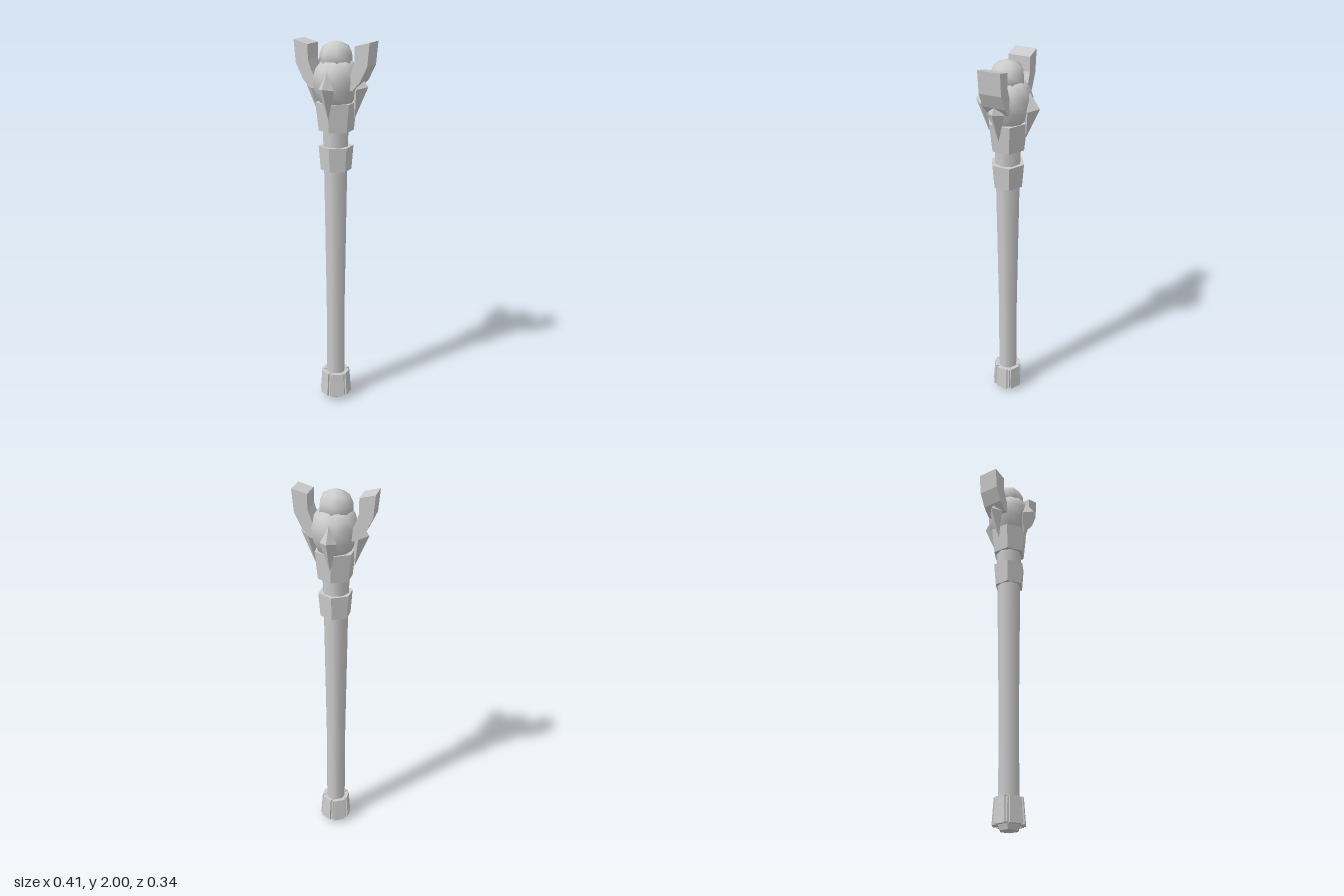
import * as THREE from 'three';

export function createModel() {
  const group = new THREE.Group();
  group.name = 'sceptre';
  const smooth = new THREE.MeshStandardMaterial({ color: 0xcccccc, side: THREE.DoubleSide });
  const flat = new THREE.MeshStandardMaterial({ color: 0xcccccc, flatShading: true });
  const AXIS = 0.007; // the head sits slightly off centre

  const add = (name, geometry, material, x = 0, parent = group) => {
    const mesh = new THREE.Mesh(geometry, material);
    mesh.name = name;
    mesh.position.x = x;
    parent.add(mesh);
    return mesh;
  };
  // Faceted ring between two heights
  const ring = (name, rBottom, rTop, y0, y1, x = 0) =>
    add(name, new THREE.CylinderGeometry(rTop, rBottom, y1 - y0, 6).translate(0, (y0 + y1) / 2, 0), flat, x);
  const lathe = (points, sides, start = 0) =>
    new THREE.LatheGeometry(points.map(([r, y]) => new THREE.Vector2(r, y)), sides, start);

  // Shaft, widening towards the head
  add('shaft', lathe([[0.053, 0.03], [0.053, 0.6], [0.064, 1.35], [0.07, 1.56]], 8), smooth, 0.002);

  // Pommel: hexagonal core, end plate and six flared panels
  ring('pommelCore', 0.082, 0.074, 0.035, 0.16, 0.003);
  ring('pommelEnd', 0.05, 0.06, 0.005, 0.035, 0.003);
  for (let i = 0; i < 6; i++) {
    const panel = new THREE.BoxGeometry(0.06, 0.135, 0.02);
    const p = panel.attributes.position;
    for (let j = 0; j < p.count; j++) {
      const low = p.getY(j) < 0;
      p.setX(j, p.getX(j) * (low ? 1.05 : 0.9));
      p.setZ(j, p.getZ(j) + (low ? 0.071 : 0.062));
    }
    panel.translate(0, 0.0975, 0);
    add('pommelPanel', panel, flat, 0.003).rotation.y = Math.PI / 6 + (i * Math.PI) / 3;
  }

  // Collar and the cup that holds the globe
  ring('collar', 0.08, 0.09, 1.345, 1.47, 0.004);
  ring('cup', 0.09, 0.106, 1.55, 1.695, 0.005);

  // Globe and its rounded cap
  const globe = lathe([[0, 1.64], [0.06, 1.66], [0.092, 1.7], [0.12, 1.76], [0.127, 1.82],
    [0.112, 1.865], [0.083, 1.9], [0, 1.91]], 10, Math.PI / 2);
  add('globe', globe, smooth, AXIS).scale.x = 0.94;
  add('cap', lathe([[0.06, 1.86], [0.086, 1.895], [0.083, 1.935], [0.066, 1.973], [0.03, 1.99], [0, 1.997]], 7, Math.PI),
    smooth, 0.003);

  // Curved horns on both sides
  const outline = [[0.198, 2], [0.12, 1.98], [0.12, 1.905], [0.1, 1.85], [0.06, 1.77], [0.11, 1.765], [0.15, 1.81], [0.187, 1.885]];
  const hornShape = new THREE.Shape(outline.map(([x, y]) => new THREE.Vector2(x, y)));
  const horn = new THREE.ExtrudeGeometry(hornShape, { depth: 0.115, bevelEnabled: false }).translate(0, 0, -0.0575);
  add('leftHorn', horn, flat, AXIS);
  add('rightHorn', horn, flat, -0.004).rotation.y = Math.PI;

  // Four diamond spikes around the globe: ridge peak outside, tips above and below
  const spike = new THREE.OctahedronGeometry(1);
  const p = spike.attributes.position;
  for (let i = 0; i < p.count; i++) {
    const x = p.getX(i), y = p.getY(i), z = p.getZ(i);
    if (y > 0.5) p.setXYZ(i, 0, 1.855, 0.118);
    else if (y < -0.5) p.setXYZ(i, 0, 1.62, 0.1);
    else if (z > 0.5) p.setXYZ(i, 0, 1.78, 0.171);
    else if (z < -0.5) p.setXYZ(i, 0, 1.77, 0.09);
    else p.setXYZ(i, x * 0.042, 1.77, 0.125);
  }
  spike.computeVertexNormals();
  ['frontSpike', 'leftSpike', 'backSpike', 'rightSpike'].forEach((name, i) => {
    add(name, spike, flat, AXIS).rotation.y = (i * Math.PI) / 2;
  });

  return group;
}
